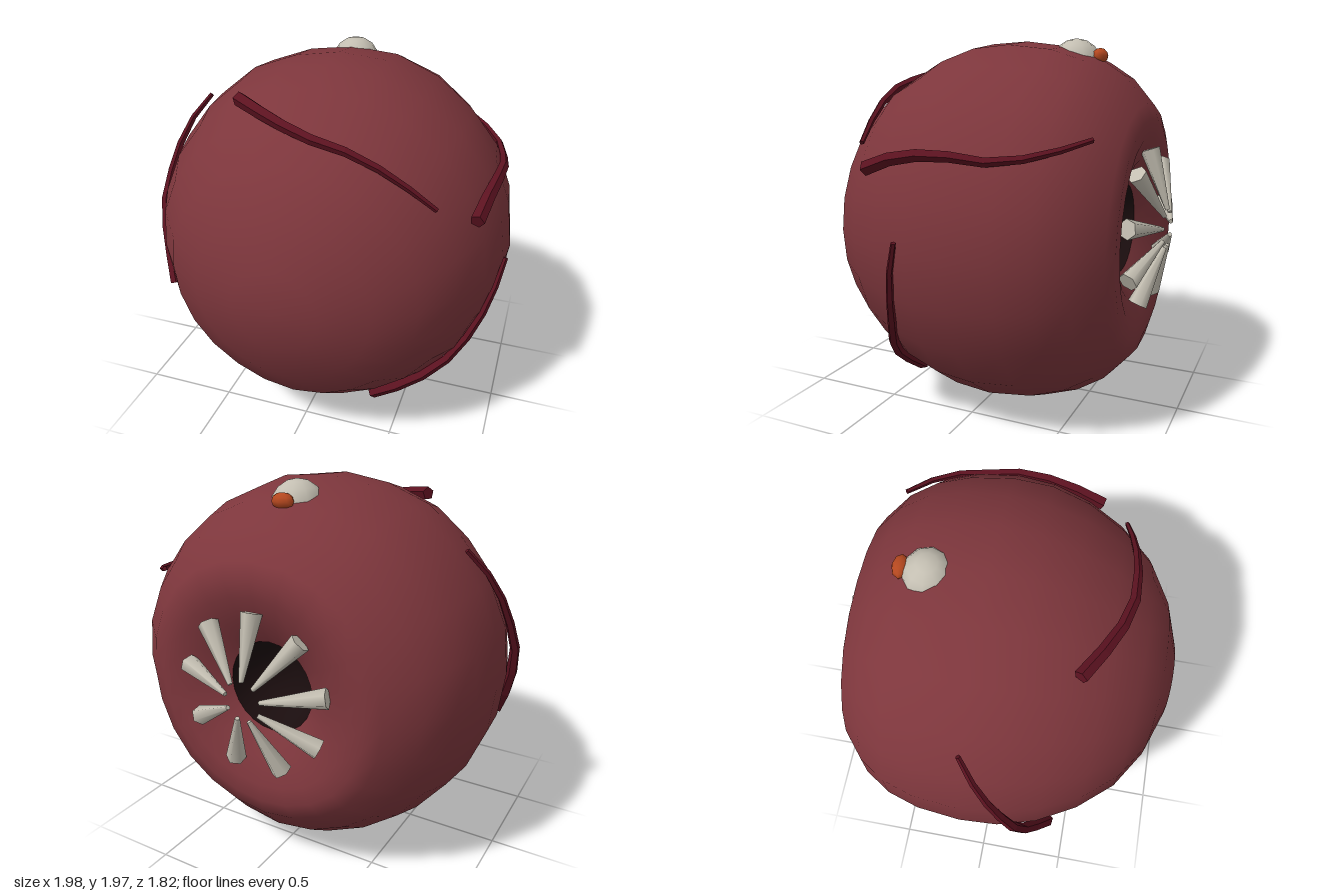
import * as THREE from 'three';
import { mergeVertices } from 'three/addons/utils/BufferGeometryUtils.js';

const CENTRE_Y = 0.99;
const paint = (color) => new THREE.MeshStandardMaterial({ color });

function addMesh(parent, name, geometry, material) {
  const mesh = new THREE.Mesh(geometry, material);
  mesh.name = name;
  parent.add(mesh);
  return mesh;
}

// Profile of [radius, z] pairs turned about the z axis, with a gentle lumpiness
function fleshLathe(profile, segments) {
  let g = new THREE.LatheGeometry(profile.map(([r, z]) => new THREE.Vector2(r, z)), segments);
  g.rotateX(Math.PI / 2);
  g.deleteAttribute('uv');
  g.deleteAttribute('normal');
  g = mergeVertices(g, 1e-4);
  const p = g.attributes.position;
  for (let i = 0; i < p.count; i++) {
    const x = p.getX(i), y = p.getY(i), z = p.getZ(i);
    const s = 1 + 0.009 * Math.sin(7 * x + 2 * z) * Math.cos(6 * y - 3 * z);
    p.setXYZ(i, x * s, y * s + CENTRE_Y, z);
  }
  g.computeVertexNormals();
  return g;
}

// Tube that thins from r0 to r1 along its path, with flat end caps
function taperedTube(points, r0, r1, sides) {
  const curve = new THREE.CatmullRomCurve3(points.map((p) => new THREE.Vector3(...p)));
  const steps = points.length + 1;
  const g = new THREE.TubeGeometry(curve, steps, 1, sides, false);
  const p = g.attributes.position, v = new THREE.Vector3();
  for (let i = 0; i < p.count; i++) {
    const t = Math.floor(i / (sides + 1)) / steps;
    const c = curve.getPointAt(t);
    v.fromBufferAttribute(p, i).sub(c).multiplyScalar(r0 + (r1 - r0) * t).add(c);
    p.setXYZ(i, v.x, v.y, v.z);
  }
  const index = Array.from(g.index.array);
  const last = steps * (sides + 1);
  for (let k = 1; k < sides - 1; k++) {
    index.push(0, k, k + 1, last, last + k + 1, last + k);
  }
  g.setIndex(index);
  const flat = g.toNonIndexed();
  flat.computeVertexNormals();
  return flat;
}

export function createModel() {
  const model = new THREE.Group();
  model.name = 'roundCreature';
  const skin = paint(0x7d363c);
  const veinRed = paint(0x5c1220);
  veinRed.side = THREE.DoubleSide;
  const bone = paint(0xc4bfb2);
  const dark = paint(0x1a0d0e);
  const orange = paint(0xb5481f);

  // Body: squashed ball with a crater at the back around the mouth
  addMesh(model, 'body', fleshLathe([
    [0.24, -0.66], [0.37, -0.74], [0.5, -0.785], [0.59, -0.79], [0.67, -0.765],
    [0.81, -0.64], [0.9, -0.5], [0.955, -0.33], [0.98, -0.1], [0.965, 0.1],
    [0.905, 0.3], [0.8, 0.5], [0.65, 0.68], [0.45, 0.81], [0.22, 0.895], [0, 0.91],
  ], 24), skin);

  // Throat: dark pocket closing the crater
  addMesh(model, 'throat', fleshLathe([
    [0, -0.42], [0.18, -0.46], [0.24, -0.66],
  ], 24), dark);

  // Teeth: ring of spikes leaning inward and out of the mouth
  const teeth = new THREE.Group();
  teeth.name = 'teeth';
  model.add(teeth);
  const toothCount = 9;
  const up = new THREE.Vector3(0, 1, 0);
  for (let i = 0; i < toothCount; i++) {
    const a = Math.PI / 2 + (i / toothCount) * Math.PI * 2;
    const at = (r, z) => new THREE.Vector3(Math.cos(a) * r, 1.01 + Math.sin(a) * r, z);
    const base = at(0.41, -0.79), tip = at(0.1, -0.895);
    const axis = tip.clone().sub(base);
    const geometry = new THREE.CylinderGeometry(0.012, 0.052, axis.length(), 6, 1);
    const tooth = addMesh(teeth, 'tooth', geometry, bone);
    tooth.position.copy(base).lerp(tip, 0.5);
    tooth.quaternion.setFromUnitVectors(up, axis.normalize());
  }

  // Veins: thick at one end, lying on the skin
  const veins = {
    frontVein: [[-0.36, 1.83, 0.38], [-0.15, 1.8, 0.5], [0.05, 1.76, 0.575],
      [0.3, 1.7, 0.58], [0.5, 1.59, 0.555], [0.67, 1.46, 0.52]],
    leftUpperVein: [[0.84, 1.36, 0.38], [0.87, 1.43, 0.17], [0.895, 1.45, -0.07],
      [0.87, 1.43, -0.3], [0.8, 1.46, -0.5], [0.62, 1.52, -0.68]],
    leftLowerVein: [[0.36, 0.17, 0.385], [0.58, 0.32, 0.385], [0.76, 0.47, 0.31],
      [0.87, 0.65, 0.24], [0.94, 0.85, 0.2], [0.98, 1.05, 0.14]],
    rightVein: [[-0.85, 0.65, 0.37], [-0.93, 0.85, 0.27], [-0.97, 1.07, 0.2],
      [-0.94, 1.3, 0.1], [-0.88, 1.5, 0], [-0.77, 1.66, -0.1]],
  };
  for (const [name, points] of Object.entries(veins)) {
    addMesh(model, name, taperedTube(points, 0.037, 0.013, 5), veinRed);
  }

  // Eye on top, with its iris looking back towards the mouth side
  addMesh(model, 'eye', new THREE.SphereGeometry(0.135, 10, 8), bone).position.set(0, 1.845, -0.38);
  const iris = addMesh(model, 'iris', new THREE.SphereGeometry(0.05, 8, 6), orange);
  iris.scale.set(1.25, 0.8, 0.85);
  iris.position.set(0, 1.89, -0.51);

  return model;
}
